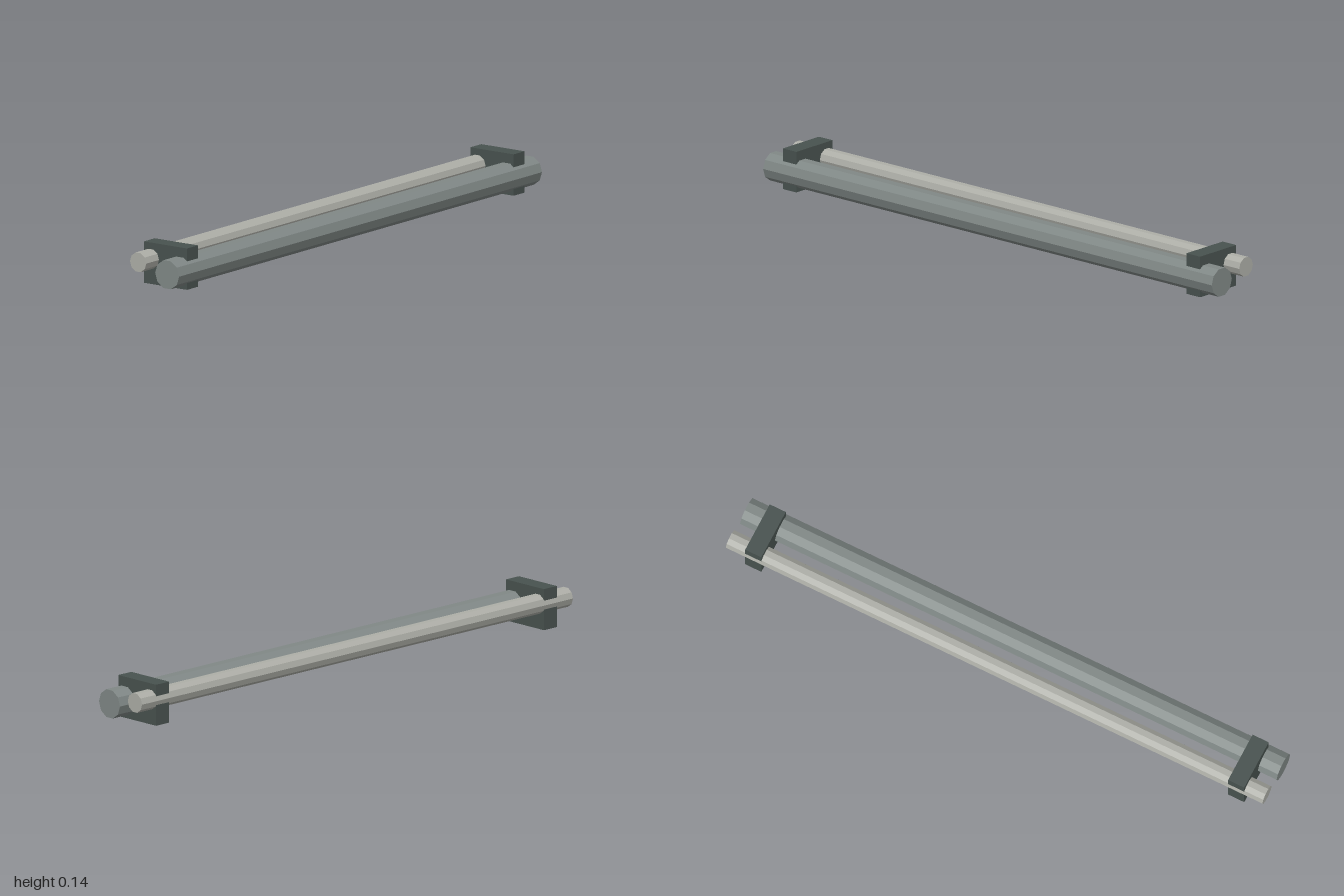
import * as THREE from 'three';

export function createModel() {
  const model = new THREE.Group();
  const material = (name, color) => {
    const m = new THREE.MeshStandardMaterial({ color, flatShading: true });
    m.name = name;
    return m;
  };
  const darkSteel = material('dark steel', 0x48524f);
  const greySteel = material('grey steel', 0x808886);
  const paleSteel = material('pale steel', 0xadaea7);

  const add = (name, geometry, mat, x, y, z) => {
    const mesh = new THREE.Mesh(geometry, mat);
    mesh.name = name;
    mesh.position.set(x, y, z);
    model.add(mesh);
  };

  // Ten-sided pipes running the full length along x
  const pipe = (radius) => new THREE.CylinderGeometry(radius, radius, 2, 10).rotateZ(Math.PI / 2);
  add('largePipe', pipe(0.05), greySteel, 0, 0.06, 0.053);
  add('smallPipe', pipe(0.034), paleSteel, 0, 0.086, -0.068);

  // Bracket blocks clamping both pipes near each end
  for (const [name, x] of [['leftBracket', 0.9], ['rightBracket', -0.9]]) {
    add(name, new THREE.BoxGeometry(0.06, 0.141, 0.18), darkSteel, x, 0.0705, -0.007);
  }
  return model;
}
